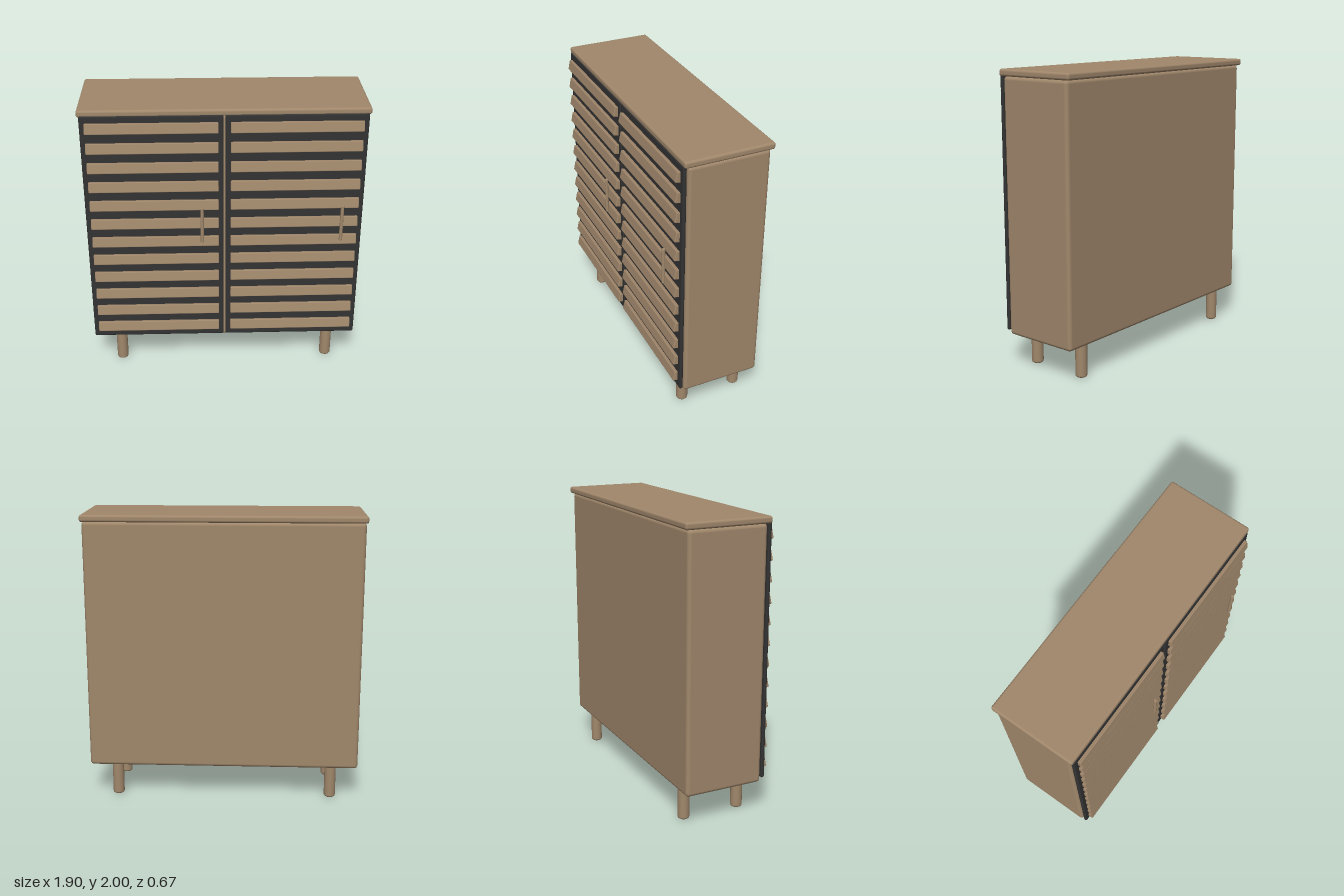
import * as THREE from 'three';
import { RoundedBoxGeometry } from 'three/addons/geometries/RoundedBoxGeometry.js';

export function createModel() {
  const group = new THREE.Group();
  group.name = 'cabinet';

  const wood = new THREE.MeshStandardMaterial({ color: 0xa0876b });
  wood.name = 'wood';
  const charcoal = new THREE.MeshStandardMaterial({ color: 0x333333 });
  charcoal.name = 'charcoal';

  const add = (name, geometry, material, x, y, z) => {
    const mesh = new THREE.Mesh(geometry, material);
    mesh.name = name;
    mesh.position.set(x, y, z);
    group.add(mesh);
    return mesh;
  };

  // Upright rod with rounded ends, centred on its origin
  const rod = (radius, height, round) => {
    const h = height / 2;
    const points = [new THREE.Vector2(0, -h)];
    for (const side of [-1, 1]) {
      for (let i = 0; i <= 4; i++) {
        const a = (side < 0 ? i - 4 : i) * Math.PI / 8;
        points.push(new THREE.Vector2(
          radius - round + round * Math.cos(a),
          side * (h - round) + round * Math.sin(a)));
      }
    }
    points.push(new THREE.Vector2(0, h));
    return new THREE.LatheGeometry(points, 24);
  };

  // Carcass and overhanging top
  add('body', new RoundedBoxGeometry(1.88, 1.72, 0.55, 4, 0.025), wood, 0, 1.095, -0.037);
  add('top', new RoundedBoxGeometry(1.9, 0.047, 0.6, 4, 0.016), wood, 0, 1.9765, -0.034);

  // Doors with tilted louvre slats
  const doorGeometry = new RoundedBoxGeometry(0.93, 1.705, 0.026, 3, 0.012);
  const slatGeometry = new RoundedBoxGeometry(0.862, 0.072, 0.04, 3, 0.006);
  for (const side of [-1, 1]) {
    add('door', doorGeometry, charcoal, side * 0.471, 1.1125, 0.257);
    for (let i = 0; i < 12; i++) {
      const slat = add('slat', slatGeometry, wood, side * 0.471, 0.354 + i * 0.1389, 0.278);
      slat.rotation.x = -0.21;
    }
  }

  // Handles, both on the left edge of their door's swing side
  const handleGeometry = rod(0.0115, 0.262, 0.004);
  for (const x of [-0.153, 0.788]) add('handle', handleGeometry, wood, x, 1.195, 0.325);

  // Four round legs
  const legGeometry = rod(0.04, 0.24, 0.016);
  for (const x of [-0.754, 0.754]) {
    for (const z of [-0.238, 0.164]) add('leg', legGeometry, wood, x, 0.12, z);
  }

  return group;
}
